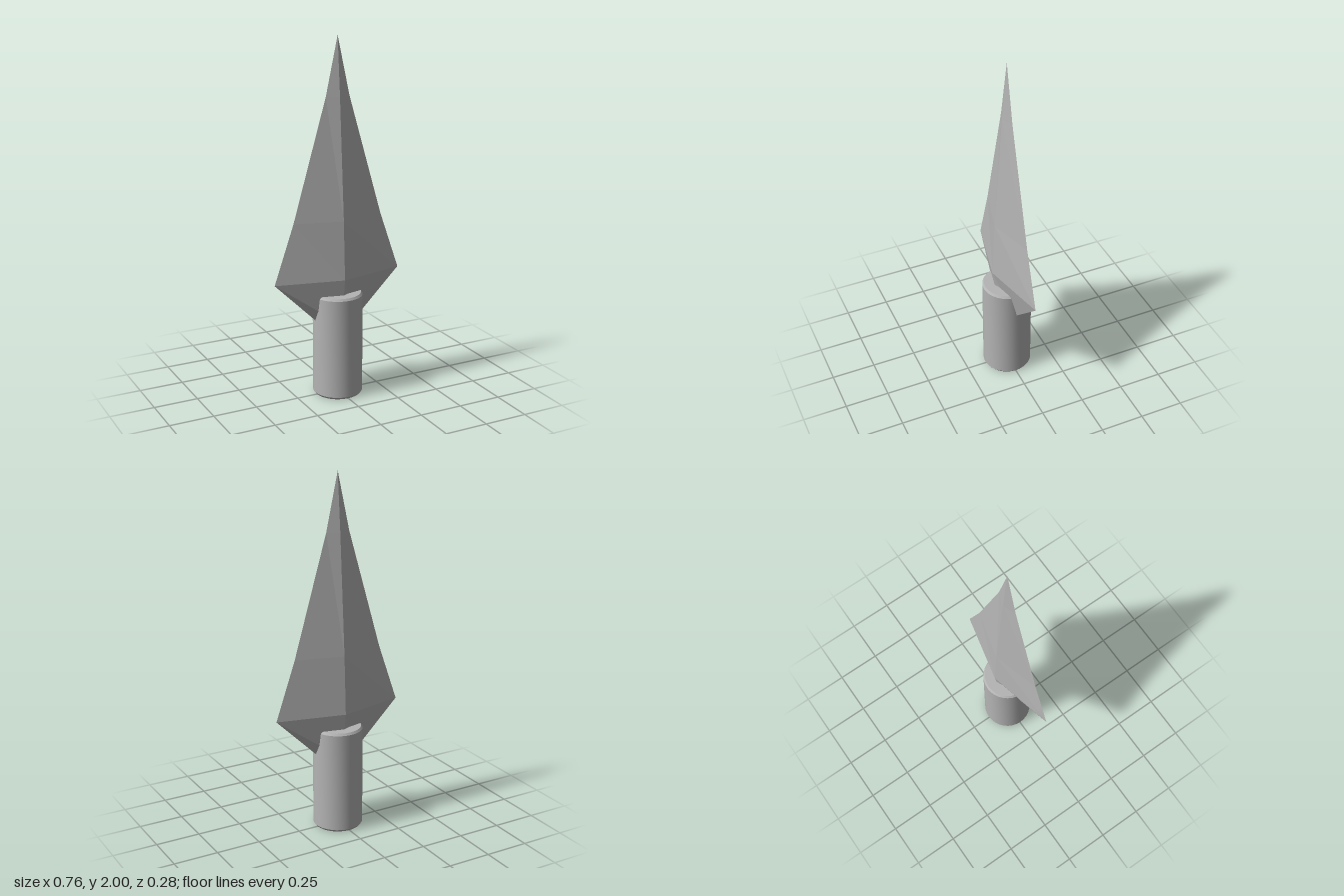
import * as THREE from 'three';
import { toCreasedNormals } from 'three/addons/utils/BufferGeometryUtils.js';

// Diamond cross-sections [height, half width, half thickness], lofted bottom to top
function loftDiamonds(sections) {
  const rings = sections.map(([y, w, t]) => [[w, y, 0], [0, y, t], [-w, y, 0], [0, y, -t]]);
  const positions = [];
  const tri = (a, b, c) => positions.push(...a, ...b, ...c);
  for (let s = 0; s < rings.length - 1; s++) {
    const lower = rings[s], upper = rings[s + 1];
    const isTip = s === rings.length - 2;
    for (let i = 0; i < 4; i++) {
      const j = (i + 1) % 4;
      // ring runs +x, +z, -x, -z (clockwise from above)
      tri(lower[i], upper[j], lower[j]);
      if (!isTip) tri(lower[i], upper[i], upper[j]);
    }
  }
  // bottom cap
  const b = rings[0];
  tri(b[0], b[1], b[2]);
  tri(b[0], b[2], b[3]);
  const geometry = new THREE.BufferGeometry();
  geometry.setAttribute('position', new THREE.Float32BufferAttribute(positions, 3));
  geometry.computeVertexNormals();
  return geometry;
}

export function createModel() {
  const group = new THREE.Group();
  group.name = 'spearhead';
  const steel = new THREE.MeshStandardMaterial({ color: 0xb4b4b4 });
  steel.name = 'grey steel';

  // Faceted blade, its base sunk into the socket
  const blade = new THREE.Mesh(loftDiamonds([
    [0.41, 0.105, 0.05],
    [0.68, 0.38, 0.088],
    [1.01, 0.265, 0.073],
    [1.68, 0.07, 0.027],
    [2.0, 0, 0],
  ]), steel);
  blade.name = 'blade';
  group.add(blade);

  // Round socket with bevelled rims and a bore open at the bottom
  const profile = [
    [0, 0.4], [0.085, 0.4], [0.085, 0],
    [0.13, 0], [0.139, 0.012], [0.139, 0.578], [0.13, 0.59], [0, 0.59],
  ].map(([r, y]) => new THREE.Vector2(r, y));
  const socket = new THREE.Mesh(toCreasedNormals(new THREE.LatheGeometry(profile, 32), 0.5), steel);
  socket.name = 'socket';
  group.add(socket);

  return group;
}
